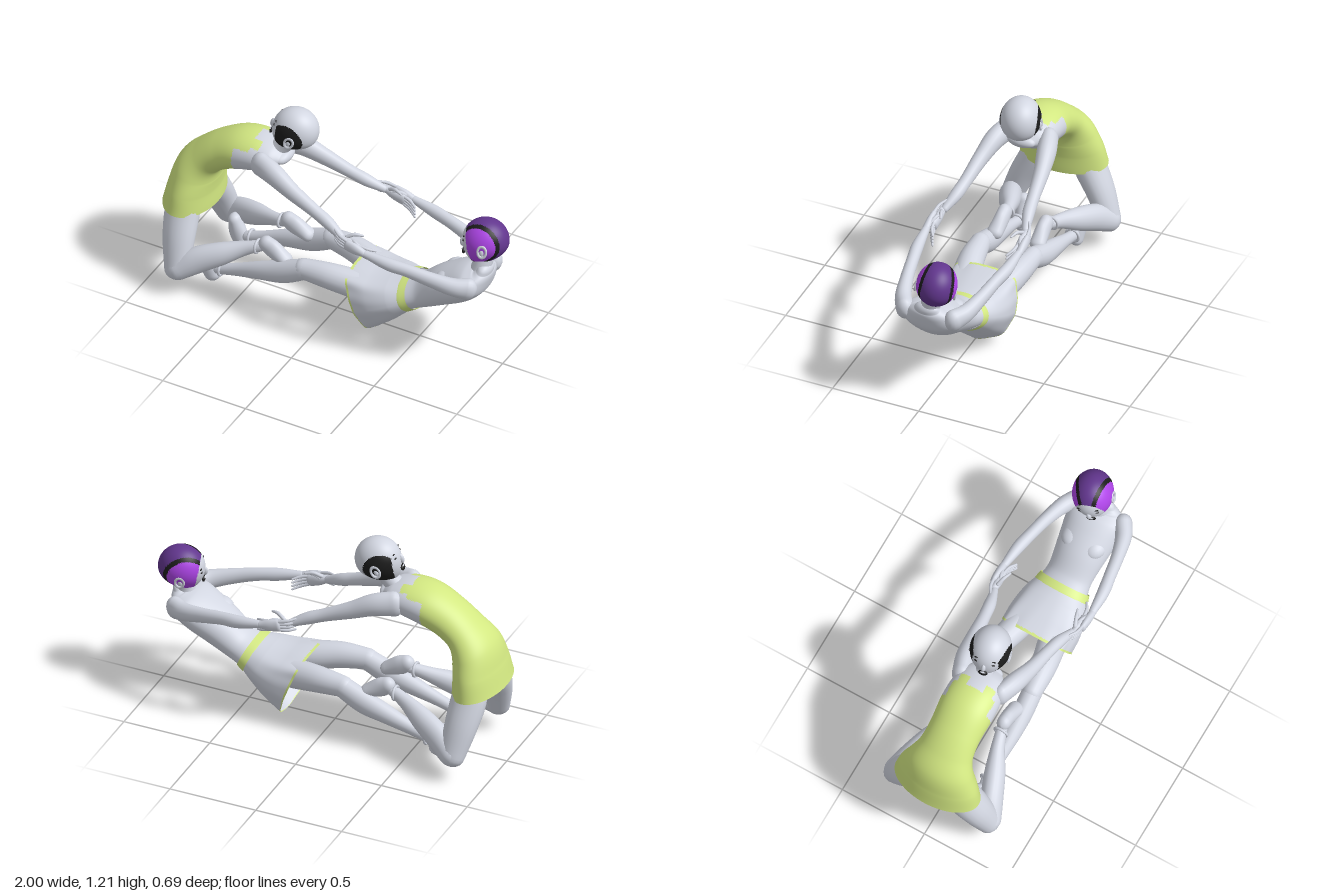
import * as THREE from 'three';

const mat = (name, color, side = THREE.FrontSide) => {
  const m = new THREE.MeshStandardMaterial({ color, side });
  m.name = name;
  return m;
};
const skin = mat('pale grey', 0xd2d6e1, THREE.DoubleSide);
const lime = mat('lime', 0xd3e882, THREE.DoubleSide);
const black = mat('black', 0x1c1c1c);
const violet = mat('violet', 0xb046ea);
const plum = mat('plum', 0x62368e);

function add(parent, name, geo, material) {
  const m = new THREE.Mesh(geo, material);
  m.name = name;
  parent.add(m);
  return m;
}

// Sorts the faces into material groups by a rule on each face centre
function paint(geo, rule, count) {
  const idx = geo.index.array, p = geo.attributes.position;
  const buckets = Array.from({ length: count }, () => []);
  const mid = (f, i) => (p[f](idx[i]) + p[f](idx[i + 1]) + p[f](idx[i + 2])) / 3;
  for (let i = 0; i < idx.length; i += 3) {
    buckets[rule(mid('getX', i), mid('getY', i), mid('getZ', i))].push(idx[i], idx[i + 1], idx[i + 2]);
  }
  geo.setIndex(buckets.flat());
  let start = 0;
  buckets.forEach((b, k) => { geo.addGroup(start, b.length, k); start += b.length; });
  return geo;
}

// Elliptical sections along a smooth path; each point is [x, y, z, halfWidth, halfDepth].
// ripple adds folds towards the end, boxy squares off the upper half.
function sweep(pts, { rings = 24, sides = 20, open0 = false, open1 = false, ripple = 0, boxy = 0 } = {}) {
  const path = new THREE.CatmullRomCurve3(pts.map(p => new THREE.Vector3(p[0], p[1], p[2])));
  const size = new THREE.CatmullRomCurve3(pts.map(p => new THREE.Vector3(p[3], p[4] ?? p[3], 0)), false, 'catmullrom');
  const stations = [];
  for (let i = 0; i <= rings; i++) stations.push([i / rings, 0]);
  for (let k = 1; k <= 5; k++) {
    const a = k / 5 * Math.PI / 2;
    if (!open0) stations.unshift([0, -a]);
    if (!open1) stations.push([1, a]);
  }
  const pos = [], idx = [], Z = new THREE.Vector3(0, 0, 1);
  stations.forEach(([u, a], i) => {
    const c = path.getPoint(u), t = path.getTangent(u), r = size.getPoint(u);
    const s = Z.clone().addScaledVector(t, -t.z).normalize();
    const n = t.clone().cross(s);
    c.addScaledVector(t, Math.sin(a) * Math.min(r.x, r.y));
    const k = Math.max(Math.cos(a), 0.002);
    for (let j = 0; j < sides; j++) {
      const b = j / sides * Math.PI * 2, w = k * (1 + ripple * u * Math.cos(8 * b));
      const e = Math.sin(b) > 0 ? 1 - boxy * u : 1;
      const bend = q => Math.sign(q) * Math.abs(q) ** e;
      const v = c.clone().addScaledVector(s, r.x * w * bend(Math.cos(b))).addScaledVector(n, r.y * w * bend(Math.sin(b)));
      pos.push(v.x, v.y, v.z);
      if (i < stations.length - 1) {
        const A = i * sides + j, B = i * sides + (j + 1) % sides;
        idx.push(A, B, A + sides, B, B + sides, A + sides);
      }
    }
  });
  const g = new THREE.BufferGeometry();
  g.setAttribute('position', new THREE.Float32BufferAttribute(pos, 3));
  g.setIndex(idx);
  g.computeVertexNormals();
  return g;
}

function ball(parent, name, material, [x, y, z], [a, b, c]) {
  const m = add(parent, name, new THREE.SphereGeometry(1, 20, 14), material);
  m.position.set(x, y, z);
  m.scale.set(a, b, c);
  return m;
}

// Head facing local +z, with a painted hood, ears, nose, eyes and open mouth
function head(parent, position, [tilt, yaw, roll], materials, rule) {
  const g = new THREE.Group();
  g.name = 'head';
  const geo = paint(new THREE.SphereGeometry(1, 96, 72), rule, materials.length);
  const p = geo.attributes.position;
  for (let i = 0; i < p.count; i++) {
    const x = p.getX(i), y = p.getY(i), z = p.getZ(i), k = Math.max(0, -y);
    p.setXYZ(i, x * 0.11 * (1 - 0.32 * k * k), y * (y < 0 ? 0.138 : 0.125), z * 0.126 * (1 - 0.25 * k * k) + k * k * 0.035);
  }
  geo.computeVertexNormals();
  add(g, 'skull', geo, materials);
  ball(g, 'nose', skin, [0, -0.028, 0.122], [0.013, 0.028, 0.017]);
  ball(g, 'mouth', black, [0, -0.078, 0.114], [0.026, 0.018, 0.01]);
  ball(g, 'teeth', skin, [0, -0.069, 0.12], [0.016, 0.005, 0.006]);
  for (const s of [-1, 1]) {
    ball(g, 'eye', black, [s * 0.042, 0.002, 0.111], [0.016, 0.006, 0.006]);
    ball(g, 'brow', black, [s * 0.042, 0.026, 0.11], [0.019, 0.003, 0.005]);
    const ear = add(g, 'ear', new THREE.TorusGeometry(0.023, 0.007, 10, 24), skin);
    ear.position.set(s * 0.106, -0.025, 0);
    ear.rotation.y = s * (Math.PI / 2 - 0.05);
    ear.scale.y = 1.4;
    ball(g, 'earLobe', skin, [s * 0.102, -0.03, 0.002], [0.01, 0.022, 0.013]);
  }
  g.rotation.order = 'YXZ';
  g.rotation.set(tilt, -Math.PI / 2 + yaw, roll);
  g.position.set(...position);
  parent.add(g);
}

// Hand gripping along +x or -x: palm, four fingers and a thumb
function hand(parent, [x, y, z], d, drop, s) {
  add(parent, 'palm', sweep([[x, y, z, 0.02], [x + d * 0.05, y + drop * 0.3, z, 0.022, 0.032], [x + d * 0.1, y + drop * 0.6, z, 0.018, 0.034]], { rings: 10 }), skin);
  for (let i = 0; i < 4; i++) {
    const o = (i - 1.5) * 0.016, fx = x + d * 0.1, fy = y + drop * 0.6 + o;
    add(parent, 'finger', sweep([[fx, fy, z, 0.009], [fx + d * 0.05, fy + drop * 0.3 + o * 0.2, z - s * 0.008, 0.009], [fx + d * 0.09, fy + drop * 0.6 + o * 0.3, z - s * 0.03, 0.006]], { rings: 8, sides: 8 }), skin);
  }
  add(parent, 'thumb', sweep([[x + d * 0.03, y + 0.015, z - s * 0.01, 0.011], [x + d * 0.07, y + 0.035, z - s * 0.025, 0.01], [x + d * 0.11, y + 0.03, z - s * 0.04, 0.006]], { rings: 8, sides: 8 }), skin);
}

function ankleStrap(parent, x, y, z) {
  const strap = add(parent, 'ankleStrap', new THREE.TorusGeometry(0.037, 0.008, 8, 24), skin);
  strap.position.set(x, y, z);
  strap.rotation.y = Math.PI / 2;
}

function kneelingFigure() {
  const g = new THREE.Group();
  g.name = 'kneelingFigure';
  // Body and dress in one sweep: armpits and middle of the back stay bare, straps run over the shoulders
  const body = sweep([
    [-0.86, 0.465, 0, 0.25, 0.141], [-0.847, 0.57, 0, 0.228, 0.128], [-0.822, 0.67, 0, 0.19, 0.12],
    [-0.762, 0.755, 0, 0.152, 0.1], [-0.67, 0.825, 0, 0.143, 0.103], [-0.55, 0.88, 0, 0.15, 0.11],
    [-0.44, 0.9, 0, 0.145, 0.1], [-0.36, 0.91, 0, 0.125, 0.07], [-0.31, 0.91, 0, 0.08, 0.035],
  ], { rings: 110, sides: 72, open0: true });
  add(g, 'bodyAndDress', paint(body, (x, y, z) => {
    const w = Math.abs(z);
    const strap = w > 0.05 && w < 0.105 && x < (y > 0.9 ? -0.42 : -0.38);
    const front = y > 0.935 && x < -0.47 && w < 0.125;
    return x < -0.56 || strap || front ? 1 : 0;
  }, 2), [skin, lime]);
  add(g, 'neck', sweep([[-0.38, 0.91, 0, 0.06], [-0.33, 0.97, -0.01, 0.05], [-0.27, 1.04, -0.02, 0.05]]), skin);
  head(g, [-0.26, 1.092, -0.02], [-0.35, 0.2, 0], [skin, black], (x, y, z) => {
    const face = z > 0 && (x / 0.68) ** 2 + ((y + 0.2) / 0.78) ** 2 < 1;
    return !face && y < 0.5 && 0.98 * Math.abs(x) + 0.2 * z - 0.3 * y > 0.72 ? 1 : 0;
  });
  for (const s of [-1, 1]) {
    add(g, 'arm', sweep([[-0.4, 0.9, s * 0.12, 0.05, 0.072], [-0.3, 0.885, s * 0.15, 0.052, 0.062], [-0.18, 0.835, s * 0.175, 0.042, 0.048], [-0.03, 0.775, s * 0.195, 0.034, 0.036], [0.06, 0.74, s * 0.21, 0.033, 0.034], [0.15, 0.7, s * 0.235, 0.021]], { rings: 36 }), skin);
    hand(g, [0.16, 0.695, s * 0.245], 1, -0.055, s);
    add(g, 'thigh', sweep([[-0.85, 0.52, s * 0.125, 0.08, 0.085], [-0.85, 0.44, s * 0.155, 0.084, 0.097], [-0.835, 0.31, s * 0.222, 0.074, 0.09], [-0.812, 0.155, s * 0.285, 0.06, 0.07]]), skin);
    add(g, 'shin', sweep([[-0.805, 0.16, s * 0.287, 0.06, 0.064], [-0.72, 0.22, s * 0.25, 0.06, 0.074], [-0.6, 0.275, s * 0.2, 0.056, 0.065], [-0.48, 0.325, s * 0.15, 0.037, 0.042], [-0.38, 0.36, s * 0.12, 0.029]]), skin);
    add(g, 'shoe', sweep([[-0.365, 0.382, s * 0.12, 0.038, 0.046], [-0.32, 0.358, s * 0.12, 0.04, 0.052], [-0.245, 0.32, s * 0.125, 0.044, 0.036]], { rings: 14 }), skin);
    ankleStrap(g, -0.41, 0.35, s * 0.128);
  }
  return g;
}

function recliningFigure() {
  const g = new THREE.Group();
  g.name = 'recliningFigure';
  add(g, 'torso', sweep([
    [0.44, 0.3, 0, 0.138, 0.085], [0.47, 0.31, 0, 0.14, 0.088], [0.55, 0.345, 0, 0.127, 0.09], [0.67, 0.425, 0, 0.142, 0.105],
    [0.78, 0.49, 0, 0.16, 0.103], [0.85, 0.54, 0, 0.165, 0.085], [0.885, 0.58, 0, 0.115, 0.055], [0.895, 0.605, 0, 0.07, 0.04],
  ], { rings: 60, sides: 40 }), skin);
  // Flared skirt draped over the thighs with a thin lime hem, and a waistband
  const skirt = sweep([[0.48, 0.315, 0, 0.143, 0.09], [0.4, 0.28, 0, 0.18, 0.118], [0.3, 0.235, 0, 0.2, 0.16], [0.202, 0.198, 0, 0.2, 0.2]],
    { rings: 60, sides: 96, open0: true, open1: true, ripple: 0.02, boxy: 0.5 });
  add(g, 'skirt', paint(skirt, (x, y) => (0.945 * x + 0.327 * y < 0.264 ? 1 : 0), 2), [skin, lime]);
  add(g, 'waistband', sweep([[0.454, 0.303, 0, 0.158, 0.102], [0.495, 0.321, 0, 0.146, 0.094]], { rings: 4, sides: 48, open0: true, open1: true }), lime);
  add(g, 'neck', sweep([[0.86, 0.55, 0, 0.07, 0.06], [0.872, 0.62, -0.01, 0.054], [0.88, 0.7, -0.035, 0.052]]), skin);
  // Hood: dark crown and back, a black stripe, bright sides around the ears
  head(g, [0.873, 0.757, -0.047], [-0.02, 0.3, 0.2], [skin, plum, black, violet], (x, y, z) => {
    if (z > 0 && (x / 0.7) ** 2 + ((y + 0.2) / 0.75) ** 2 < 1) return 0;
    const q = 0.95 * Math.abs(x) + 0.31 * z - 0.08 * y;
    return q > 0.62 ? 3 : q > 0.44 ? 2 : 1;
  });
  for (const s of [-1, 1]) {
    ball(g, 'chest', skin, [0.7, 0.49, s * 0.064], [0.075, 0.055, 0.066]);
    add(g, 'arm', sweep([[0.865, 0.55, s * 0.14, 0.05, 0.065], [0.8, 0.565, s * 0.18, 0.045, 0.052], [0.68, 0.595, s * 0.215, 0.036, 0.042], [0.55, 0.625, s * 0.24, 0.033, 0.036], [0.45, 0.64, s * 0.258, 0.033, 0.035], [0.32, 0.665, s * 0.268, 0.021]], { rings: 36 }), skin);
    hand(g, [0.31, 0.667, s * 0.27], -1, 0.03, s);
    add(g, 'thigh', sweep([[0.34, 0.28, s * 0.085, 0.07, 0.07], [0.2, 0.295, s * 0.1, 0.078, 0.08], [0.03, 0.32, s * 0.135, 0.07, 0.072], [-0.12, 0.325, s * 0.152, 0.055, 0.058]]), skin);
    add(g, 'shin', sweep([[-0.11, 0.325, s * 0.152, 0.055, 0.058], [-0.24, 0.265, s * 0.158, 0.055, 0.065], [-0.37, 0.225, s * 0.16, 0.048, 0.052], [-0.52, 0.175, s * 0.16, 0.033, 0.036], [-0.63, 0.14, s * 0.16, 0.03]]), skin);
    add(g, 'shoe', sweep([[-0.665, 0.09, s * 0.16, 0.036, 0.045], [-0.69, 0.15, s * 0.163, 0.04, 0.05], [-0.71, 0.22, s * 0.168, 0.042, 0.036]], { rings: 14 }), skin);
    ankleStrap(g, -0.61, 0.147, s * 0.16);
  }
  return g;
}

export function createModel() {
  const model = new THREE.Group();
  model.name = 'twoDancers';
  model.add(kneelingFigure(), recliningFigure());
  return model;
}
